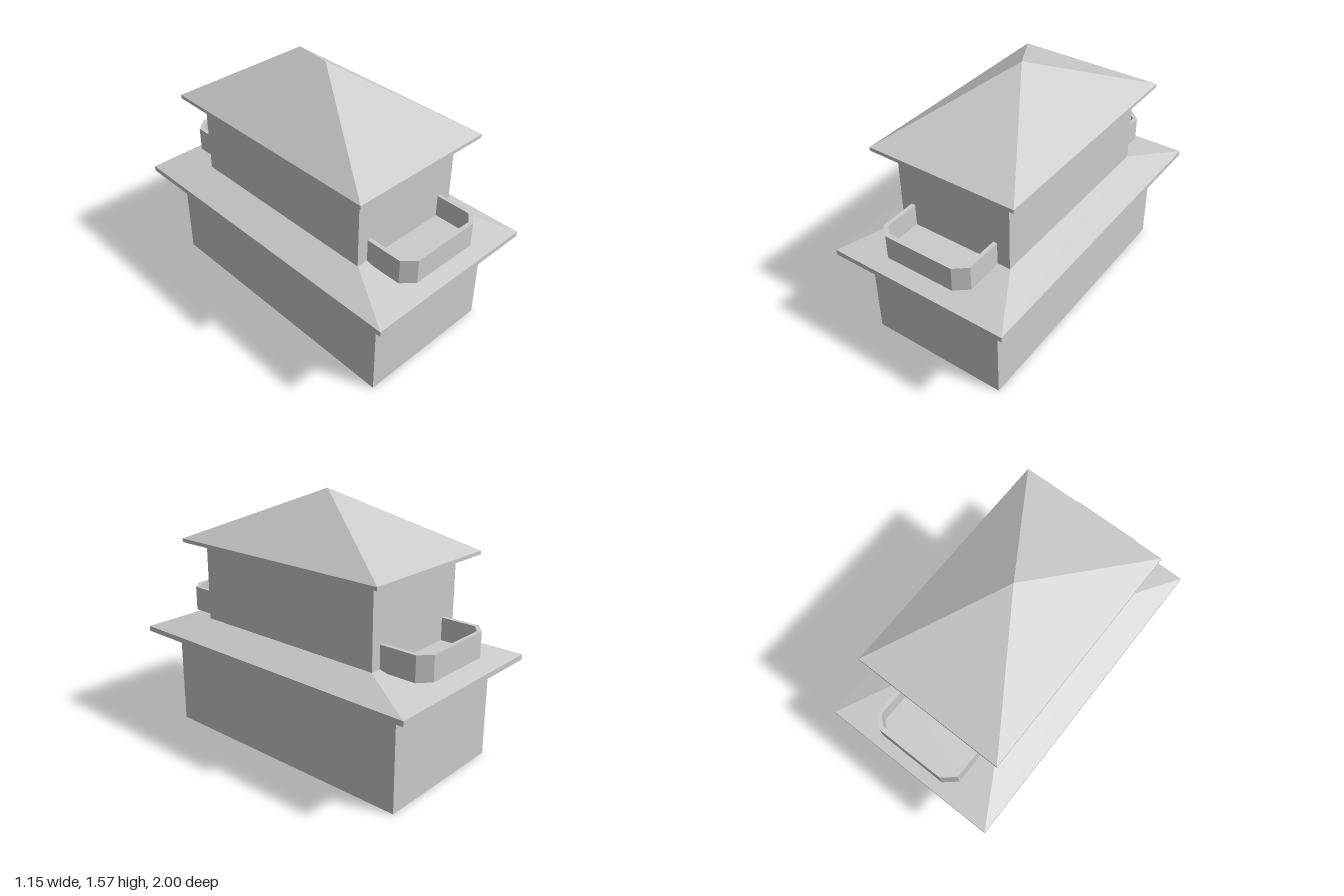
import * as THREE from 'three';

const material = new THREE.MeshStandardMaterial({ color: 0xcccccc, flatShading: true, side: THREE.DoubleSide });

function part(name, geometry) {
  const mesh = new THREE.Mesh(geometry, material);
  mesh.name = name;
  return mesh;
}

// Skin stacked rectangles given as [halfX, halfZ, y], bottom to top
function rectLoft(sections) {
  const corners = sections.map(([x, z, y]) =>
    [[x, z], [x, -z], [-x, -z], [-x, z]].map(([cx, cz]) => [cx, y, cz]));
  const pos = [];
  for (let s = 0; s < sections.length - 1; s++) {
    const closedBottom = sections[s][0] === 0, closedTop = sections[s + 1][0] === 0;
    for (let i = 0; i < 4; i++) {
      const j = (i + 1) % 4;
      const a = corners[s][i], b = corners[s][j], c = corners[s + 1][j], d = corners[s + 1][i];
      if (!closedBottom) pos.push(...a, ...b, ...c);
      if (!closedTop) pos.push(...(closedBottom ? b : a), ...c, ...d);
    }
  }
  const geometry = new THREE.BufferGeometry();
  geometry.setAttribute('position', new THREE.Float32BufferAttribute(pos, 3));
  geometry.computeVertexNormals();
  return geometry;
}

// Horizontal plan (x, z) extruded upward from y
function slab(points, y, height) {
  const shape = new THREE.Shape(points.map(([x, z]) => new THREE.Vector2(x, -z)));
  return new THREE.ExtrudeGeometry(shape, { depth: height, bevelEnabled: false })
    .rotateX(-Math.PI / 2).translate(0, y, 0);
}

// Balcony with chamfered corners and an open back against the wall
function makeBalcony() {
  const balcony = new THREE.Group();
  const wallZ = 0.64;
  const outer = [[-0.304, wallZ], [-0.304, 0.87], [-0.232, 0.935], [0.212, 0.935], [0.288, 0.87], [0.288, wallZ]];
  const inner = [[-0.279, wallZ], [-0.279, 0.86], [-0.223, 0.909], [0.203, 0.909], [0.263, 0.86], [0.263, wallZ]];
  balcony.add(part('balconyRail', slab([...outer, ...inner.reverse()], 0.712, 0.152)));
  balcony.add(part('balconyFloor', slab(outer, 0.712, 0.015)));
  return balcony;
}

export function createModel() {
  const house = new THREE.Group();
  house.name = 'house';

  // Ground floor walls, open underneath
  const lower = part('lowerWalls', rectLoft([[0.443, 0.858, 0], [0.443, 0.858, 0.61]]));
  lower.position.x = -0.004;
  house.add(lower);

  // Skirt roof between the storeys, with a flat soffit
  house.add(part('skirtRoof', rectLoft([
    [0, 0, 0.61], [0.573, 1, 0.61], [0.573, 1, 0.642], [0.372, 0.642, 0.724],
  ])));

  // Upper floor walls
  const upper = part('upperWalls', rectLoft([[0.372, 0.642, 0.724], [0.372, 0.642, 1.195]]));
  upper.position.x = -0.003;
  house.add(upper);

  // Pyramid roof with a slightly sloping soffit
  const roof = part('mainRoof', rectLoft([
    [0, 0, 1.195], [0.372, 0.642, 1.195], [0.471, 0.743, 1.212], [0.471, 0.743, 1.234], [0, 0, 1.565],
  ]));
  roof.position.x = -0.002;
  house.add(roof);

  // Front balcony, repeated half a turn around at the back
  ['frontBalcony', 'backBalcony'].forEach((name, i) => {
    const balcony = makeBalcony();
    balcony.name = name;
    balcony.rotation.y = i * Math.PI;
    house.add(balcony);
  });

  return house;
}
